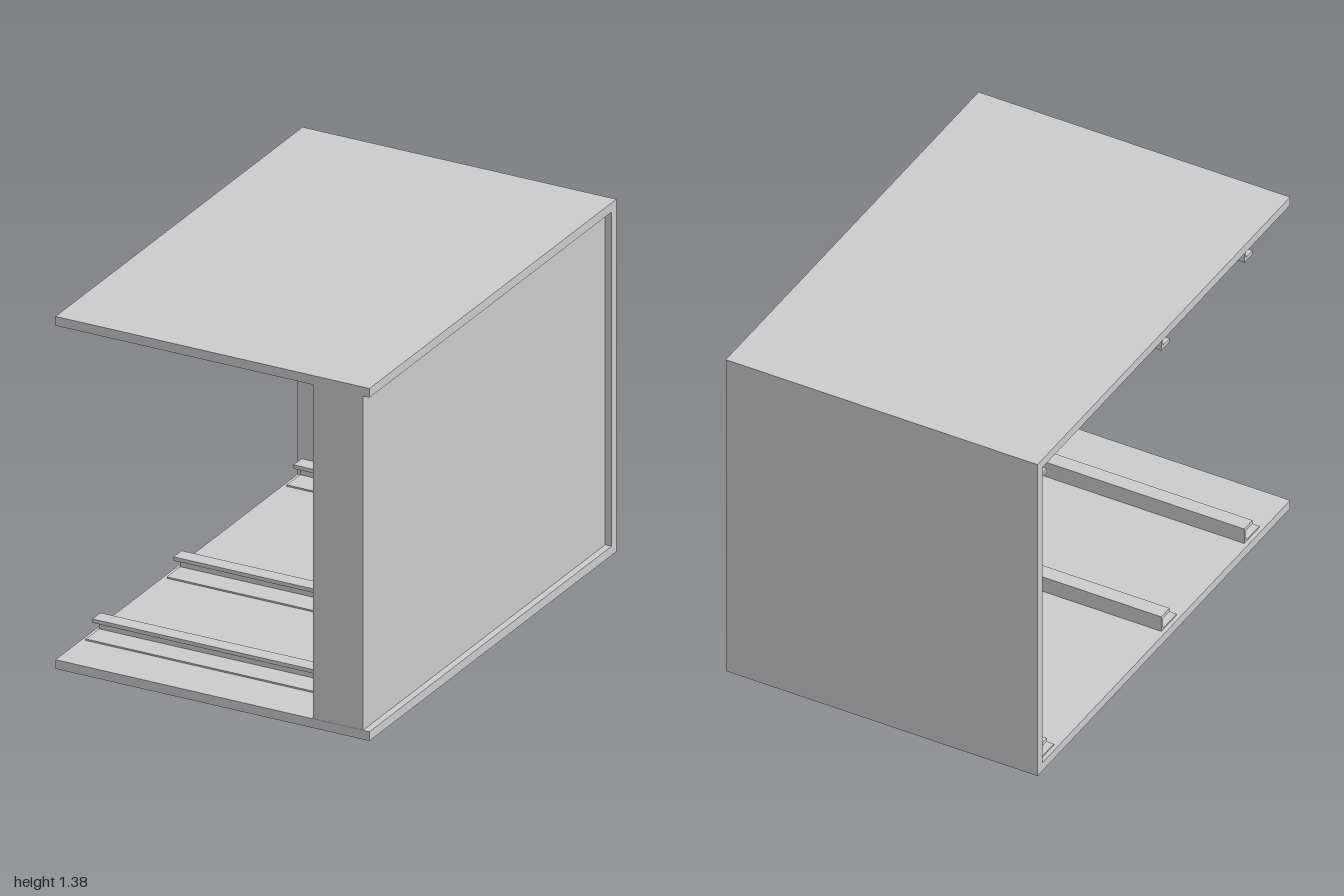
import * as THREE from 'three';

export function createModel() {
  const root = new THREE.Group();
  root.name = 'cabinet';
  const body = new THREE.Group();
  body.name = 'cabinetBody';
  body.rotation.y = -0.1425; // the cabinet stands slightly turned
  root.add(body);

  const mat = new THREE.MeshStandardMaterial({ color: 0xcccccc, flatShading: true });
  const W = 0.636, D = 0.914, H = 1.38, T = 0.036;

  // Box given by its minimum and maximum corners
  function box(name, x0, x1, y0, y1, z0, z1) {
    const m = new THREE.Mesh(new THREE.BoxGeometry(x1 - x0, y1 - y0, z1 - z0), mat);
    m.position.set((x0 + x1) / 2, (y0 + y1) / 2, (z0 + z1) / 2);
    m.name = name;
    body.add(m);
  }

  // Floor and top boards
  box('bottomBoard', -W, W, 0, T, -D, D);
  box('topBoard', -W, W, H - T, H, -D, D);

  // Full-width back, recessed side panel and narrow front stile
  box('backPanel', -W, W, T, H - T, -D, -D + T);
  box('sidePanel', 0.59, 0.61, T, H - T, -D + T, D - T);
  box('frontStile', 0.406, 0.592, T, H - T, D - T, D - 0.001);
  box('sidePanelFrontEdge', 0.592, 0.61, T, H - T, D - T, D - 0.001);

  // Rail section: wide foot, upright web and shorter lip
  const section = new THREE.Shape([
    [0, 0], [0.11, 0], [0.11, 0.006], [0.012, 0.006],
    [0.012, 0.049], [0.06, 0.049], [0.06, 0.064], [0, 0.064],
  ].map(([z, y]) => new THREE.Vector2(z, y)));
  const railLength = 1.21;
  const lower = new THREE.ExtrudeGeometry(section, { depth: railLength, bevelEnabled: false });
  lower.rotateY(-Math.PI / 2); // section x becomes z, length runs towards -x

  // Mirrored section for the rails under the top board
  const upperShape = new THREE.Shape(section.getPoints().map(p => new THREE.Vector2(p.x, -p.y)));
  const upper = new THREE.ExtrudeGeometry(upperShape, { depth: railLength, bevelEnabled: false });
  upper.rotateY(-Math.PI / 2);

  for (const z of [-0.878, 0.01, 0.61]) {
    for (const [name, geo, y] of [['lowerRail', lower, T], ['upperRail', upper, H - T]]) {
      const rail = new THREE.Mesh(geo, mat);
      rail.name = name;
      rail.position.set(0.59, y, z);
      body.add(rail);
    }
  }
  return root;
}
